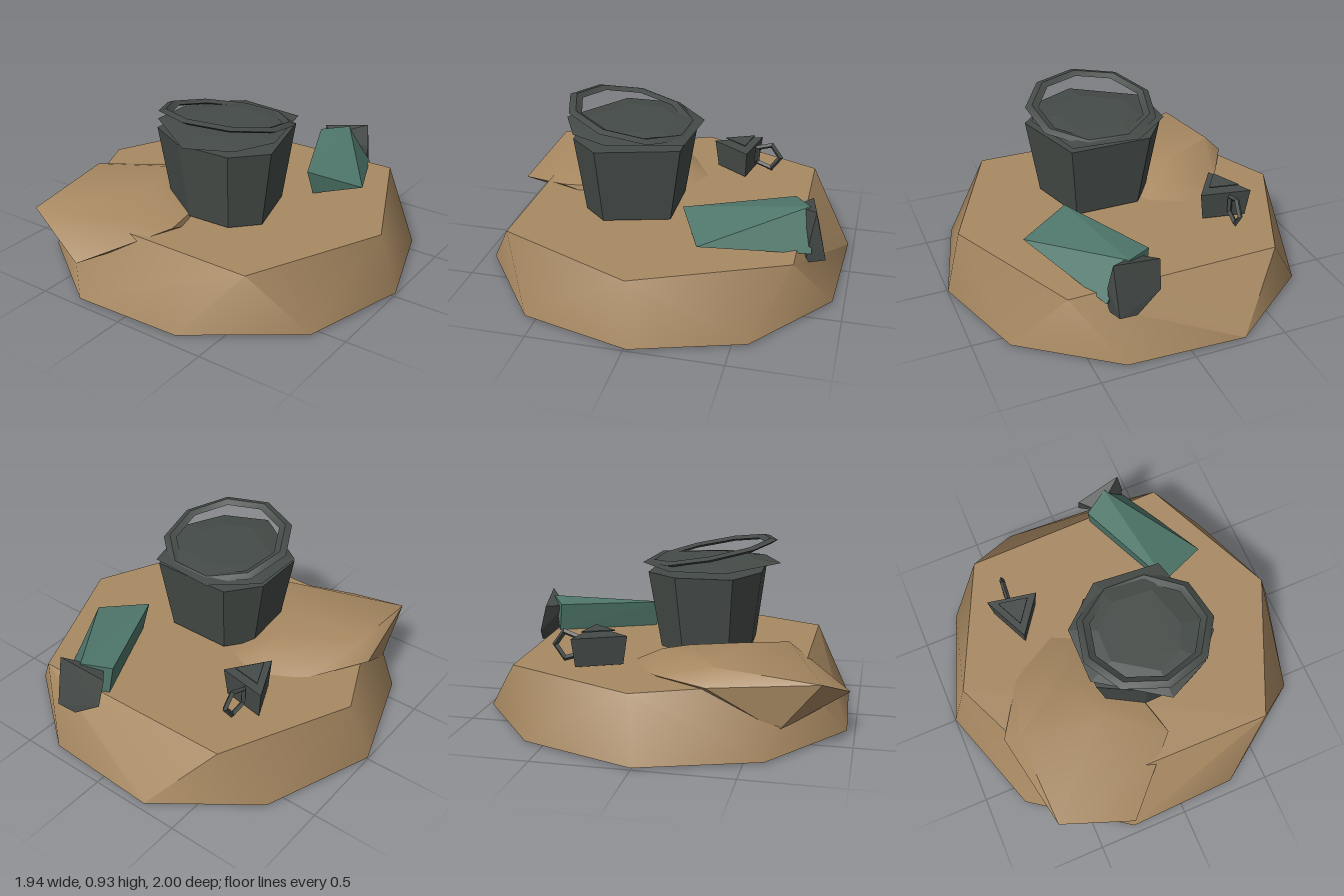
import * as THREE from 'three';
import { ConvexGeometry } from 'three/addons/geometries/ConvexGeometry.js';
import { toCreasedNormals } from 'three/addons/utils/BufferGeometryUtils.js';

const sand = new THREE.MeshStandardMaterial({ color: 0xa88962 });
sand.name = 'sand';
const iron = new THREE.MeshStandardMaterial({ color: 0x454b48 });
iron.name = 'dark iron';
const cloth = new THREE.MeshStandardMaterial({ color: 0x4f776b });
cloth.name = 'green cloth';

// Faceted solid around a few corner points
function solid(name, points, material, crease = 0) {
  let geometry = new ConvexGeometry(points.map((p) => new THREE.Vector3(...p)));
  if (crease) geometry = toCreasedNormals(geometry, crease);
  const mesh = new THREE.Mesh(geometry, material);
  mesh.name = name;
  return mesh;
}

// Turns an [x, z] outline into points at a height, scaled about a centre
const level = (outline, y, s = 1, cx = 0, cz = 0) =>
  outline.map(([x, z]) => [cx + (x - cx) * s, y, cz + (z - cz) * s]);

// Thin low-poly ring lying flat
function ring(name, radius, tube, sides, flatten) {
  const geometry = new THREE.TorusGeometry(radius, tube, 4, sides);
  geometry.rotateX(Math.PI / 2).scale(1, flatten, 1);
  const mesh = new THREE.Mesh(toCreasedNormals(geometry, 0.3), iron);
  mesh.name = name;
  return mesh;
}

export function createModel() {
  const model = new THREE.Group();
  model.name = 'campsite';

  // Ground: ten-sided foot narrowing to a six-sided top
  const foot = [[0, -1], [0.6, -0.78], [0.97, -0.29], [0.94, 0.34], [0.58, 0.82],
    [0.02, 1], [-0.56, 0.84], [-0.94, 0.31], [-0.96, -0.29], [-0.6, -0.8]];
  const top = [[0.04, -0.89], [0.73, -0.57], [0.75, 0.57], [-0.01, 0.91], [-0.74, 0.58], [-0.73, -0.55]];
  model.add(solid('ground', [...level(foot, 0.01), ...level(foot, 0, 0.7), ...level(top, 0.335)], sand, 0.8));

  // Mound overhanging the back corner
  model.add(solid('mound', [
    [-0.97, 0.22, -0.29], [-0.85, 0.37, -0.68], [-0.65, 0.13, -0.69], [-0.62, 0.37, 0.05],
    [-0.31, 0.35, -0.78], [-0.34, 0.43, -0.7], [-0.42, 0.435, -0.25], [-0.15, 0.435, -0.35],
    [0, 0.4, -0.33], [0.17, 0.32, -0.33], [-0.02, 0.34, -0.6], [0.07, 0.32, -0.12],
    [-0.3, 0.25, 0],
  ], sand, 0.75));

  // Cooking pot
  const pot = new THREE.Group();
  pot.name = 'pot';
  const rim = [[-0.3, 0.43], [0.12, 0.31], [0.12, -0.13], [-0.05, -0.26],
    [-0.35, -0.25], [-0.47, -0.02], [-0.46, 0.28]];
  pot.add(solid('potBody', [...level(rim, 0.76), ...level(rim, 0.345, 0.81, -0.2, 0.1)], iron));
  const lid = [[-0.32, -0.27], [-0.02, -0.27], [0.17, -0.05], [0.14, 0.31],
    [-0.24, 0.41], [-0.45, 0.31], [-0.56, 0.08]];
  pot.add(solid('potLid', [...level(lid, 0.795), ...level(lid, 0.815, 0.6, -0.19, 0.07),
    ...level(lid, 0.783, 0.8, -0.19, 0.07)], iron));
  const handle = ring('potHandle', 0.322, 0.036, 9, 0.4);
  handle.position.set(-0.19, 0.852, 0.085);
  handle.rotation.set(0, 0.3, -0.2, 'ZYX');
  pot.add(handle);
  model.add(pot);

  // Bedroll with a dark end block
  model.add(solid('bedroll', [
    [0.15, 0.48, 0.37], [0.28, 0.41, 0.64], [0.2, 0.335, 0.38],
    [0.7, 0.49, 0.13], [0.79, 0.51, 0.27], [0.82, 0.31, 0.4], [0.72, 0.33, 0.15],
  ], cloth));
  model.add(solid('bedrollEnd', [
    [0.83, 0.53, 0.37], [0.79, 0.48, 0.11], [0.83, 0.33, 0.12], [0.87, 0.24, 0.26],
    [0.89, 0.26, 0.36], [0.79, 0.245, 0.38], [0.81, 0.4, 0.39], [0.7, 0.47, 0.2],
  ], iron));

  // Three-sided cup with a rim plate and side loop
  const cup = new THREE.Group();
  cup.name = 'cup';
  const mouth = [[0.15, -0.47], [0.41, -0.59], [0.36, -0.32]];
  cup.add(solid('cupBody', [...level(mouth, 0.495), ...level(mouth, 0.345, 0.86, 0.31, -0.46)], iron));
  cup.add(solid('cupRim', [...level(mouth, 0.517, 0.6, 0.31, -0.46),
    ...level(mouth, 0.523, 0.6, 0.31, -0.46)], iron));
  const loop = ring('cupHandle', 0.075, 0.017, 5, 0.8);
  loop.rotation.set(Math.PI / 2, 0, 0.08);
  loop.position.set(0.46, 0.43, -0.47);
  cup.add(loop);
  model.add(cup);

  return model;
}
